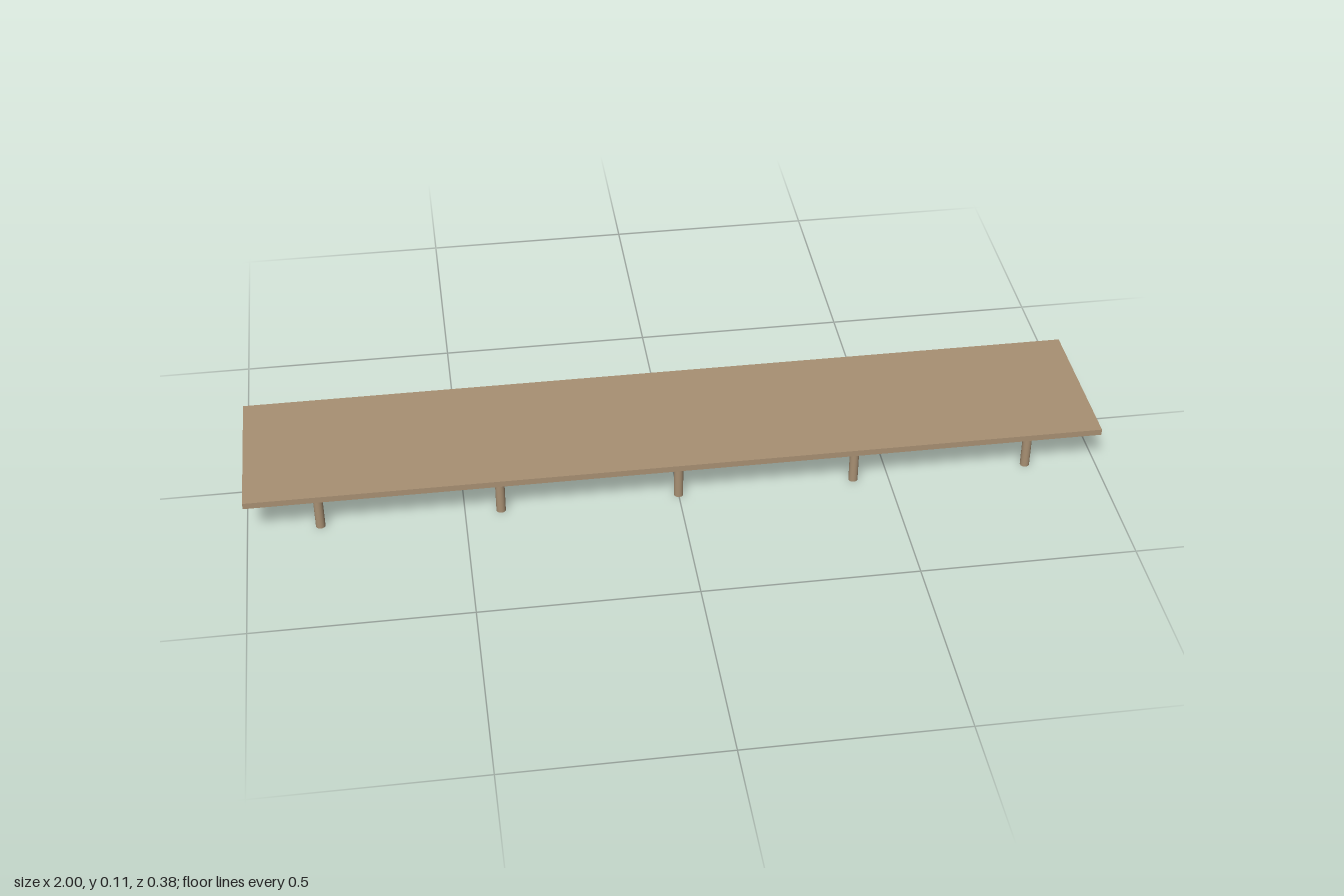
import * as THREE from 'three';

export function createModel() {
  const model = new THREE.Group();
  model.name = 'pier';
  const wood = new THREE.MeshStandardMaterial({ color: 0xa89073 });
  wood.name = 'weathered wood';

  const deckBottom = 0.0975, deckThickness = 0.015;

  // Long flat deck
  const deck = new THREE.Mesh(new THREE.BoxGeometry(2, deckThickness, 0.375), wood);
  deck.name = 'deck';
  deck.position.y = deckBottom + deckThickness / 2;
  model.add(deck);

  // Two rows of five round posts
  const postGeometry = new THREE.CylinderGeometry(0.011, 0.011, deckBottom, 16);
  for (const [side, z] of [['front', 0.15], ['back', -0.15]]) {
    for (let i = -2; i <= 2; i++) {
      const post = new THREE.Mesh(postGeometry, wood);
      post.name = `${side}Post${i + 3}`;
      post.position.set(i * 0.4165, deckBottom / 2, z);
      model.add(post);
    }
  }
  return model;
}
